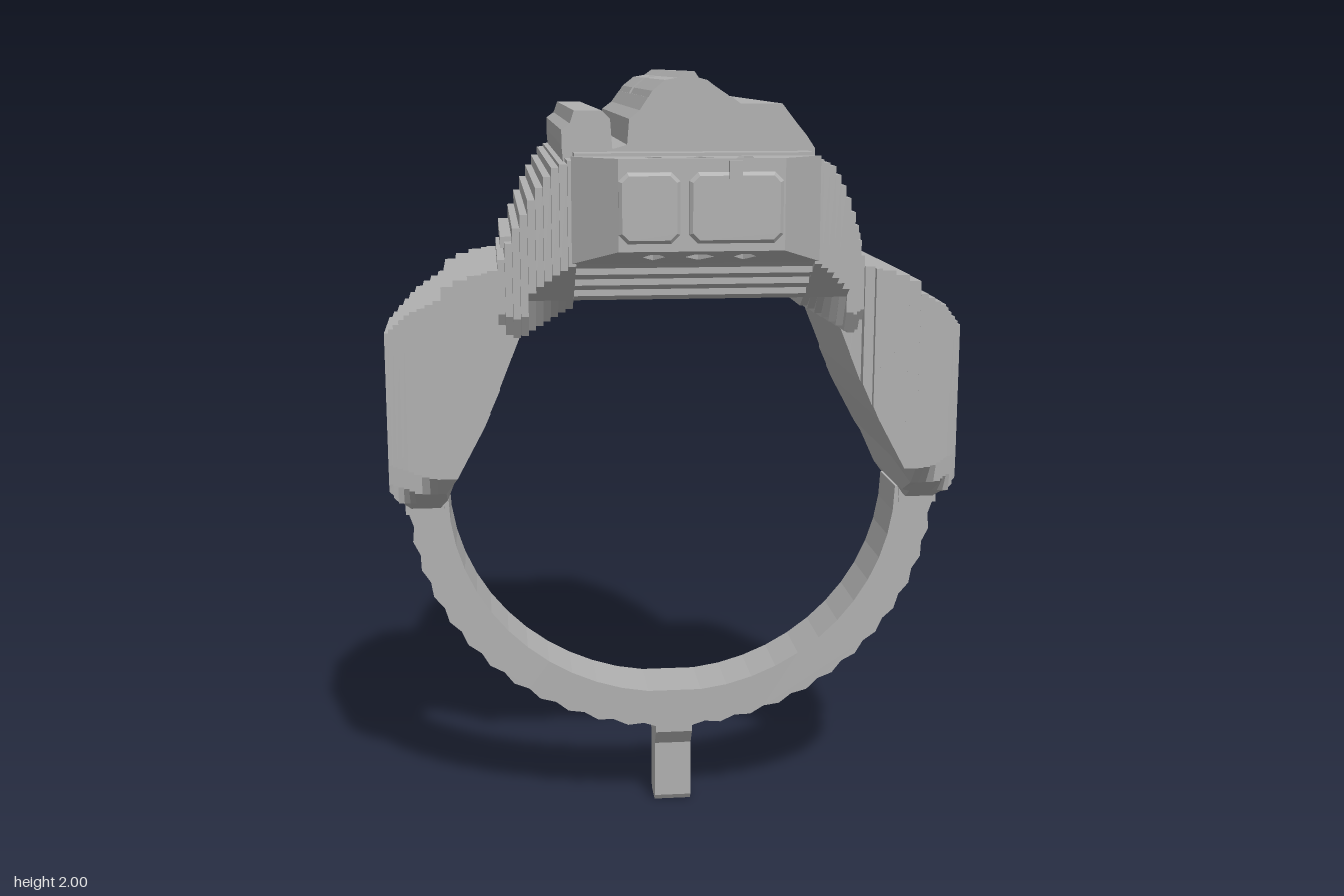
import * as THREE from 'three';

const metal = new THREE.MeshStandardMaterial({ color: 0xb0b0b0 });
metal.name = 'greyMetal';

// piecewise linear lookup
function lookup(table, x) {
  const k = table.findIndex((p) => p[0] >= x);
  if (k < 0) return table[table.length - 1][1];
  if (k === 0) return table[0][1];
  const [x0, y0] = table[k - 1], [x1, y1] = table[k];
  return y0 + ((y1 - y0) * (x - x0)) / (x1 - x0);
}

const shapeOf = (pts) => new THREE.Shape(pts.map((p) => new THREE.Vector2(p[0], p[1])));
const mirrored = (pts) => [...pts, ...pts.map(([a, b]) => [-a, b]).reverse()];

function bend(geo, rule) {
  const p = geo.attributes.position, v = new THREE.Vector3();
  for (let i = 0; i < p.count; i++) {
    rule(v.fromBufferAttribute(p, i));
    p.setXYZ(i, v.x, v.y, v.z);
  }
  geo.computeVertexNormals();
  return geo;
}

// extrusion of an (x, y) outline from z0 to z1
function extrudeZ(shape, z0, z1) {
  return new THREE.ExtrudeGeometry(shape, { depth: z1 - z0, bevelEnabled: false }).translate(0, 0, z0);
}
// extrusion of a (z, y) outline from x0 to x1
function extrudeX(pts, x0, x1) {
  return new THREE.ExtrudeGeometry(shapeOf(pts), { depth: x1 - x0, bevelEnabled: false })
    .rotateY(Math.PI / 2).translate(x0, 0, 0);
}

export function createModel() {
  const root = new THREE.Group();
  root.name = 'ring';
  const add = (name, geo, parent = root) => {
    const m = new THREE.Mesh(geo, metal);
    m.name = name;
    parent.add(m);
    return m;
  };
  const box = (name, x0, x1, y0, y1, z0, z1) => add(name, new THREE.BoxGeometry(x1 - x0, y1 - y0, z1 - z0)
    .translate((x0 + x1) / 2, (y0 + y1) / 2, (z0 + z1) / 2));

  // lower band with a stepped outer edge
  const outer = [], inner = [];
  const N = 52;
  for (let i = 0; i <= N; i++) {
    const a = Math.PI * (1 + i / N), w = i % 2 ? 0.007 : -0.003;
    outer.push([Math.cos(a) * (0.7 + w), 0.9 + Math.sin(a) * (0.66 + w)]);
    if (i % 2 === 0) inner.push([Math.cos(a) * 0.6, Math.max(0.34, 0.9 + Math.sin(a) * 0.565)]);
  }
  add('band', extrudeZ(shapeOf([...outer, ...inner.reverse()]), -0.085, 0.095));

  // stem under the band
  add('stem', extrudeX(mirrored([[0.04, 0], [0.05, 0.015], [0.05, 0.17], [0.085, 0.215], [0.085, 0.28]]), -0.05, 0.05));

  // inner finger opening, shoulder and head contours, all as functions of |x|
  const opening = [[0.22, 1.46], [0.3, 1.43], [0.4, 1.37], [0.46, 1.22], [0.5, 1.13], [0.57, 1.0],
    [0.6, 0.91], [0.62, 0.88], [0.7, 0.88], [0.75, 0.93]];
  const shoulderTop = [[0.47, 1.52], [0.52, 1.51], [0.58, 1.49], [0.61, 1.45], [0.68, 1.41], [0.75, 1.34]];
  const shoulderHalf = [[0.36, 0.3], [0.44, 0.27], [0.49, 0.32], [0.62, 0.32], [0.66, 0.28], [0.7, 0.21],
    [0.73, 0.17], [0.75, 0.14]];
  const headTop = [[0.29, 1.8], [0.33, 1.78], [0.37, 1.72], [0.42, 1.62], [0.47, 1.5]];
  const headHalf = [[0.28, 0.58], [0.32, 0.54], [0.37, 0.47], [0.4, 0.42], [0.43, 0.34], [0.46, 0.27]];

  for (const side of [1, -1]) {
    const label = side > 0 ? 'left' : 'right';
    const span = (a, b) => (side > 0 ? [a, b] : [-b, -a]);

    // shoulder: upright slabs, cut below by the finger opening
    const shoulder = new THREE.Group();
    shoulder.name = label + 'Shoulder';
    root.add(shoulder);
    const sx = [0.36, 0.4, 0.43, 0.46, 0.485, 0.5, 0.535, 0.57, 0.6, 0.62, 0.64, 0.66, 0.68, 0.695, 0.71, 0.725, 0.738, 0.75];
    for (let i = 0; i < sx.length - 1; i++) {
      const mid = (sx[i] + sx[i + 1]) / 2;
      const h = lookup(shoulderHalf, mid), top = lookup(shoulderTop, mid);
      const pts = [[h, top], [h, 1.0], [Math.min(h, 0.27), 0.95], [Math.min(h, 0.18), 0.905], [Math.min(h, 0.14), 0.87]];
      // drop coincident points on the narrow slabs into a slight taper
      pts.forEach((p, k) => { p[0] -= k * 0.002; });
      const geo = extrudeX(mirrored(pts), ...span(sx[i], sx[i + 1]));
      add('shoulderRib', bend(geo, (v) => { v.y = Math.max(v.y, lookup(opening, Math.abs(v.x))); }), shoulder);
    }

    // head flank: stepped slabs falling away to the side
    const flank = new THREE.Group();
    flank.name = label + 'HeadFlank';
    root.add(flank);
    for (let i = 0; i < 10; i++) {
      const a = 0.28 + i * 0.018, mid = a + 0.009;
      const h = lookup(headHalf, mid), top = lookup(headTop, mid);
      const b = Math.max(lookup(opening, mid), 1.36);
      const low = h > 0.43 ? [[h, 1.46 + (h - 0.42) * 0.65], [0.42, 1.46], [0.38, b]] : [[h, b + 0.05], [h - 0.03, b]];
      add('flankRib', extrudeX(mirrored([[h, top], ...low]), ...span(a, a + 0.018)), flank);
    }
    box(label + 'SideBar', ...span(0.42, 0.452), 1.572, 1.6, -0.27, 0.27);
    box(label + 'Collar', ...span(0.61, 0.712), 0.855, 0.905, -0.1, 0.1);
  }

  // central block of the head, with stepped sloping underside
  add('headBlock', extrudeX(mirrored([[0.58, 1.79], [0.58, 1.57], [0.54, 1.55], [0.54, 1.535], [0.5, 1.52],
    [0.5, 1.505], [0.46, 1.49], [0.46, 1.475], [0.42, 1.46]]), -0.28, 0.28));

  // pierced flanges at the front and back of the head
  for (const end of [1, -1]) {
    const label = end > 0 ? 'front' : 'back';
    const plan = shapeOf([[-0.29, 0.575], [0.29, 0.575], [0.19, 0.68], [-0.19, 0.68]]);
    for (const [cx, r] of [[-0.105, 0.026], [0, 0.034], [0.105, 0.026]]) {
      const hole = new THREE.Path();
      hole.moveTo(cx - r, 0.63);
      hole.lineTo(cx, 0.602);
      hole.lineTo(cx + r, 0.63);
      hole.lineTo(cx + r * 0.4, 0.652);
      hole.lineTo(cx - r * 0.4, 0.652);
      hole.closePath();
      plan.holes.push(hole);
    }
    const geo = new THREE.ExtrudeGeometry(plan, { depth: 0.22, bevelEnabled: false })
      .rotateX(Math.PI / 2).translate(0, 1.81, 0);
    bend(geo, (v) => { if (v.y < 1.7) v.y = 1.565 + (v.z - 0.575) * 0.35; });
    if (end < 0) geo.rotateY(Math.PI);
    add(label + 'Flange', geo);
  }

  // raised panels on the end faces
  function panel(name, x0, x1, end) {
    const c = 0.02, y0 = 1.62, y1 = 1.78;
    const s = shapeOf([[x0 + c, y0], [x1 - c, y0], [x1, y0 + c], [x1, y1 - c], [x1 - c, y1], [x0 + c, y1], [x0, y1 - c], [x0, y0 + c]]);
    const geo = new THREE.ExtrudeGeometry(s, { depth: 0.004, bevelSize: 0.008, bevelThickness: 0.008, bevelOffset: -0.008, bevelSegments: 1 });
    geo.translate(0, 0, 0.679);
    if (end < 0) geo.rotateY(Math.PI);
    add(name, geo);
  }
  panel('frontPanelSmall', -0.19, -0.05, 1);
  panel('frontPanelLarge', -0.03, 0.185, 1);
  panel('backPanel', -0.185, 0.185, -1);
  box('frontClip', 0.06, 0.09, 1.765, 1.805, 0.67, 0.693);
  box('frontLedge', -0.28, 0.28, 1.76, 1.815, 0.46, 0.53);

  // ridged dome on top, sloped at the back end
  const slope = (geo) => bend(geo, (v) => { if (v.z < -0.4) v.z = -0.56 + Math.max(0, v.y - 1.81) * 0.7; });
  add('dome', slope(extrudeZ(shapeOf([[-0.3, 1.77], [0.3, 1.77], [0.3, 1.82], [0.28, 1.85], [0.255, 1.88], [0.22, 1.925],
    [0.12, 1.925], [0.1, 1.94], [-0.1, 1.94], [-0.12, 1.91], [-0.145, 1.89], [-0.15, 1.83], [-0.185, 1.82],
    [-0.19, 1.89], [-0.21, 1.91], [-0.275, 1.91], [-0.285, 1.88], [-0.305, 1.865], [-0.305, 1.83]]), -0.5, 0.44)));
  const crest = shapeOf([[-0.105, 1.93], [0.105, 1.93], [0.09, 1.945], [0.06, 1.965], [0.04, 1.98], [0.02, 1.985],
    [0.01, 2], [-0.01, 2], [-0.03, 1.985], [-0.06, 1.98], [-0.09, 1.955]]);
  add('crestFront', extrudeZ(crest, -0.07, 0.44));
  add('crestBack', slope(extrudeZ(crest, -0.43, -0.125)));

  return root;
}
